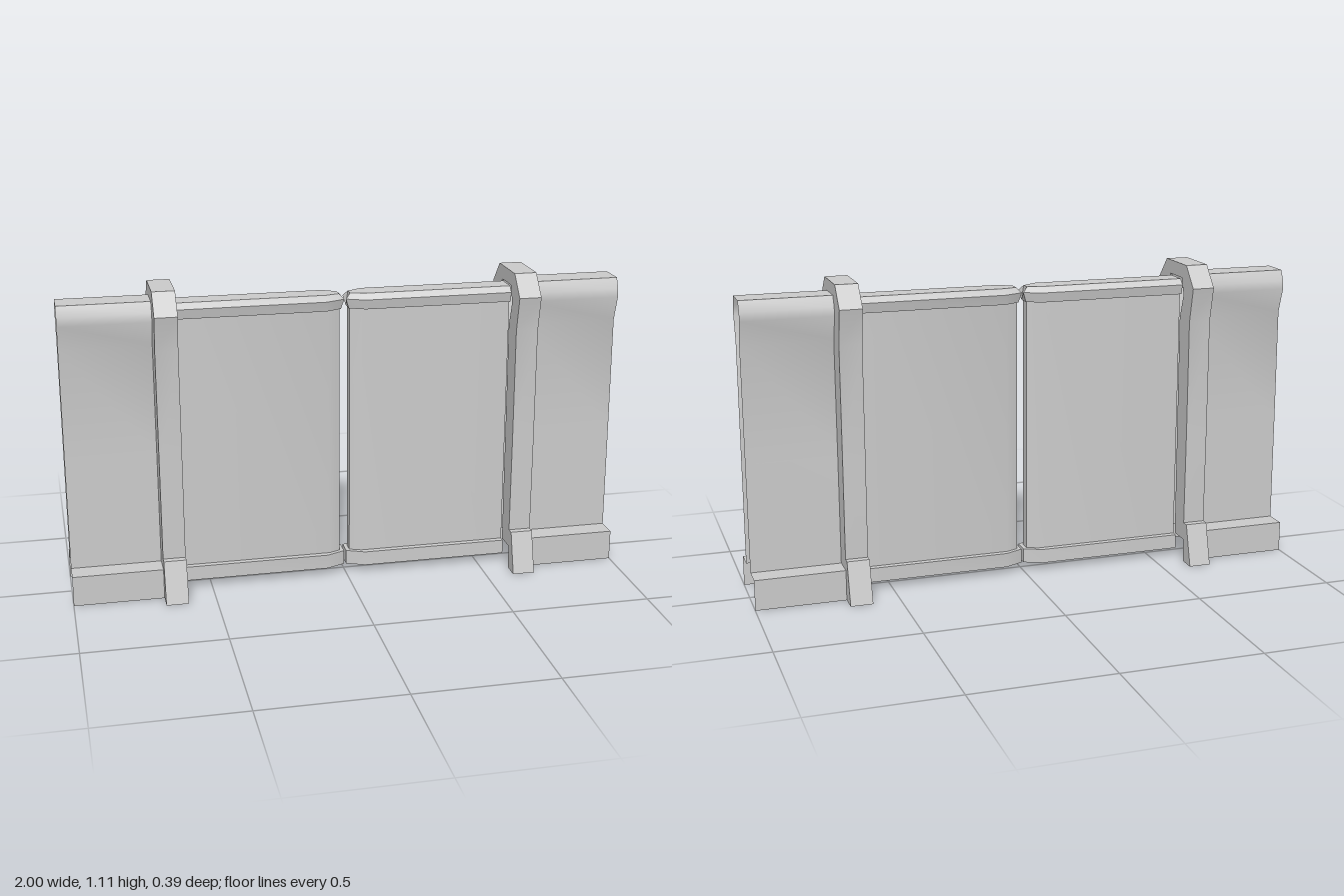
import * as THREE from 'three';
import { toCreasedNormals } from 'three/addons/utils/BufferGeometryUtils.js';

const solid = new THREE.MeshStandardMaterial({ color: 0xcccccc });
const sheet = new THREE.MeshStandardMaterial({ color: 0xcccccc, side: THREE.DoubleSide });

// Full symmetric outline from a half profile of [z, y] points listed bottom to top
const mirrored = (half) => [...half.map(([z, y, x]) => [-z, y, x]), ...[...half].reverse()];

// Skin between cross-sections of [x, y, z] points, running from high x to low x
function loft(sections, { closed = false, cap = false } = {}) {
  const n = sections[0].length;
  const index = [];
  for (let i = 0; i < sections.length - 1; i++) {
    for (let j = 0; j < (closed ? n : n - 1); j++) {
      const a = i * n + j, b = i * n + (j + 1) % n;
      index.push(a, a + n, b, b, a + n, b + n);
    }
  }
  if (cap) {
    const s = (sections.length - 1) * n;
    for (let j = 1; j < n - 1; j++) index.push(s, s + j + 1, s + j);
  }
  const geometry = new THREE.BufferGeometry();
  geometry.setAttribute('position', new THREE.Float32BufferAttribute(sections.flat(2), 3));
  geometry.setIndex(index);
  return toCreasedNormals(geometry, 0.65);
}

// Cross-section at x; a point may carry its own x as a third value
const section = (x, half) => mirrored(half).map(([z, y, px]) => [px ?? x, y, z]);

function mesh(name, geometry, material) {
  const m = new THREE.Mesh(geometry, material);
  m.name = name;
  return m;
}

function createSide() {
  const side = new THREE.Group();

  // Thick arched frame with splayed feet
  const outer = [[0.195, 0], [0.153, 0.15], [0.128, 0.15], [0.13, 0.5], [0.128, 0.91], [0.153, 1.035], [0.088, 1.11]];
  const inner = [[0.13, 0], [0.13, 0.085], [0.05, 0.085], [0.046, 0.5], [0.042, 0.91], [0.07, 1.0], [0.05, 1.06]];
  const outline = [...mirrored(outer), ...mirrored(inner).reverse()];
  const arch = new THREE.ExtrudeGeometry(
    new THREE.Shape(outline.map(([z, y]) => new THREE.Vector2(z, y))),
    { depth: 0.08, bevelEnabled: false });
  arch.rotateY(Math.PI / 2).translate(0.6, 0, 0);
  side.add(mesh('archFrame', toCreasedNormals(arch, 0.4), solid));

  // Thin open housing with a stepped skirt, hollow underneath
  const housing = [[0.13, 0], [0.13, 0.11], [0.05, 0.11], [0.047, 0.5], [0.042, 0.91], [0.07, 1.0], [0.068, 1.03], [0.05, 1.068]];
  side.add(mesh('housing', loft([section(1, housing), section(0.66, housing)]), sheet));

  // Hollow door leaf, tapering towards the meeting edge
  const leaf = (z) => [[z, 0.07], [z, 1.01]];
  side.add(mesh('doorLeaf', loft(
    [section(0.6, leaf(0.037)), section(0.06, leaf(0.037)), section(0.018, leaf(0.02))],
    { closed: true, cap: true }), sheet));

  // Top rail with chamfered crown and pointed end
  const crown = [[0.052, 1.0], [0.059, 1.035], [0.04, 1.055]];
  const crownTip = [[0.026, 1.0, 0.014], [0.03, 1.035, 0.003], [0.018, 1.053, 0.02]];
  side.add(mesh('topRail', loft(
    [section(0.6, crown), section(0.07, crown), section(0, crownTip)],
    { closed: true, cap: true }), sheet));

  // Bottom rail with the same tapered end
  const base = (z) => [[z, 0.028], [z, 0.08]];
  side.add(mesh('bottomRail', loft(
    [section(0.6, base(0.059)), section(0.07, base(0.059)), section(0.004, base(0.03))],
    { closed: true, cap: true }), sheet));

  return side;
}

export function createModel() {
  const model = new THREE.Group();
  model.name = 'doubleSlidingGate';
  const left = createSide();
  left.name = 'leftSide';
  const right = createSide();
  right.name = 'rightSide';
  right.rotation.y = Math.PI;
  model.add(left, right);
  return model;
}
